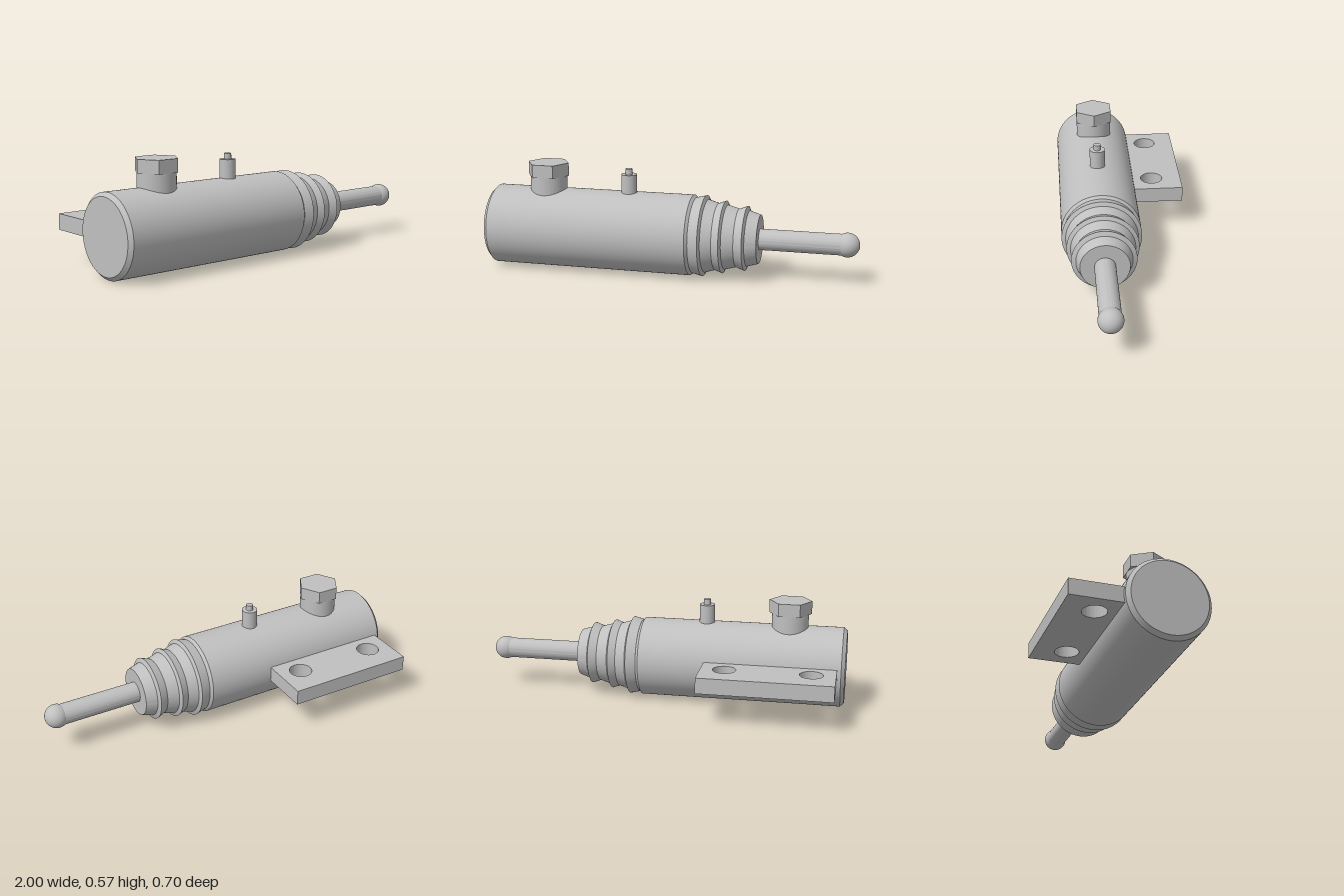
import * as THREE from 'three';
import { toCreasedNormals } from 'three/addons/utils/BufferGeometryUtils.js';

const AXIS_Y = 0.216, AXIS_Z = 0.135;

export function createModel() {
  const model = new THREE.Group();
  model.name = 'hydraulicCylinder';
  const steel = new THREE.MeshStandardMaterial({ color: 0xc0c0c0 });
  steel.name = 'grey steel';

  function add(name, geometry, x, y, z) {
    const mesh = new THREE.Mesh(geometry, steel);
    mesh.name = name;
    mesh.position.set(x, y, z);
    model.add(mesh);
    return mesh;
  }

  // Profile of [x, radius] pairs turned about the main axis
  function turned(name, profile) {
    const points = profile.map(([x, r]) => new THREE.Vector2(r, x));
    const lathe = new THREE.LatheGeometry(points, 96).rotateZ(-Math.PI / 2);
    return add(name, toCreasedNormals(lathe, 0.4), 0, AXIS_Y, AXIS_Z);
  }

  // Upright round or polygonal post between two heights
  function post(name, x, radius, bottom, top, sides = 48) {
    const geometry = new THREE.CylinderGeometry(radius, radius, top - bottom, sides);
    return add(name, geometry, x, (bottom + top) / 2, AXIS_Z);
  }

  // Main barrel with chamfered ends
  turned('barrel', [[-1, 0], [-1, 0.196], [-0.98, 0.216], [0.115, 0.216], [0.13, 0.201], [0.13, 0]]);

  // Stepped bellows boot
  turned('boot', [
    [0.13, 0], [0.13, 0.203], [0.184, 0.216], [0.194, 0.195],
    [0.25, 0.178], [0.29, 0.193], [0.3, 0.172],
    [0.362, 0.155], [0.408, 0.172], [0.418, 0.148],
    [0.478, 0.13], [0.478, 0],
  ]);

  // Push rod with ball end
  turned('pushRod', [[0.47, 0], [0.47, 0.056], [0.935, 0.056], [0.935, 0]]);
  add('rodBall', new THREE.SphereGeometry(0.064, 48, 32), 0.936, AXIS_Y, AXIS_Z);

  // Filler neck and hexagonal cap, corners along x
  post('fillerNeck', -0.69, 0.099, 0.3, 0.505);
  const hex = toCreasedNormals(new THREE.CylinderGeometry(0.115, 0.115, 0.07, 6).rotateY(Math.PI / 6), 0.4);
  add('hexCap', hex, -0.69, 0.539, AXIS_Z);

  // Bleed valve
  post('bleedValve', -0.235, 0.042, 0.38, 0.53);
  post('bleedTip', -0.235, 0.019, 0.52, 0.56);

  // Mounting plate with two bolt holes; shape y becomes -z
  const plate = new THREE.Shape();
  plate.moveTo(-0.96, -0.02);
  plate.lineTo(-0.25, -0.02);
  plate.lineTo(-0.25, 0.351);
  plate.lineTo(-0.96, 0.351);
  plate.closePath();
  for (const x of [-0.832, -0.377]) {
    const hole = new THREE.Path();
    hole.absarc(x, 0.183, 0.062, 0, Math.PI * 2, true);
    plate.holes.push(hole);
  }
  const slab = new THREE.ExtrudeGeometry(plate, { depth: 0.085, bevelEnabled: false, curveSegments: 48 });
  slab.rotateX(-Math.PI / 2);
  add('mountingPlate', toCreasedNormals(slab, 0.4), 0, 0.175, 0);

  return model;
}
